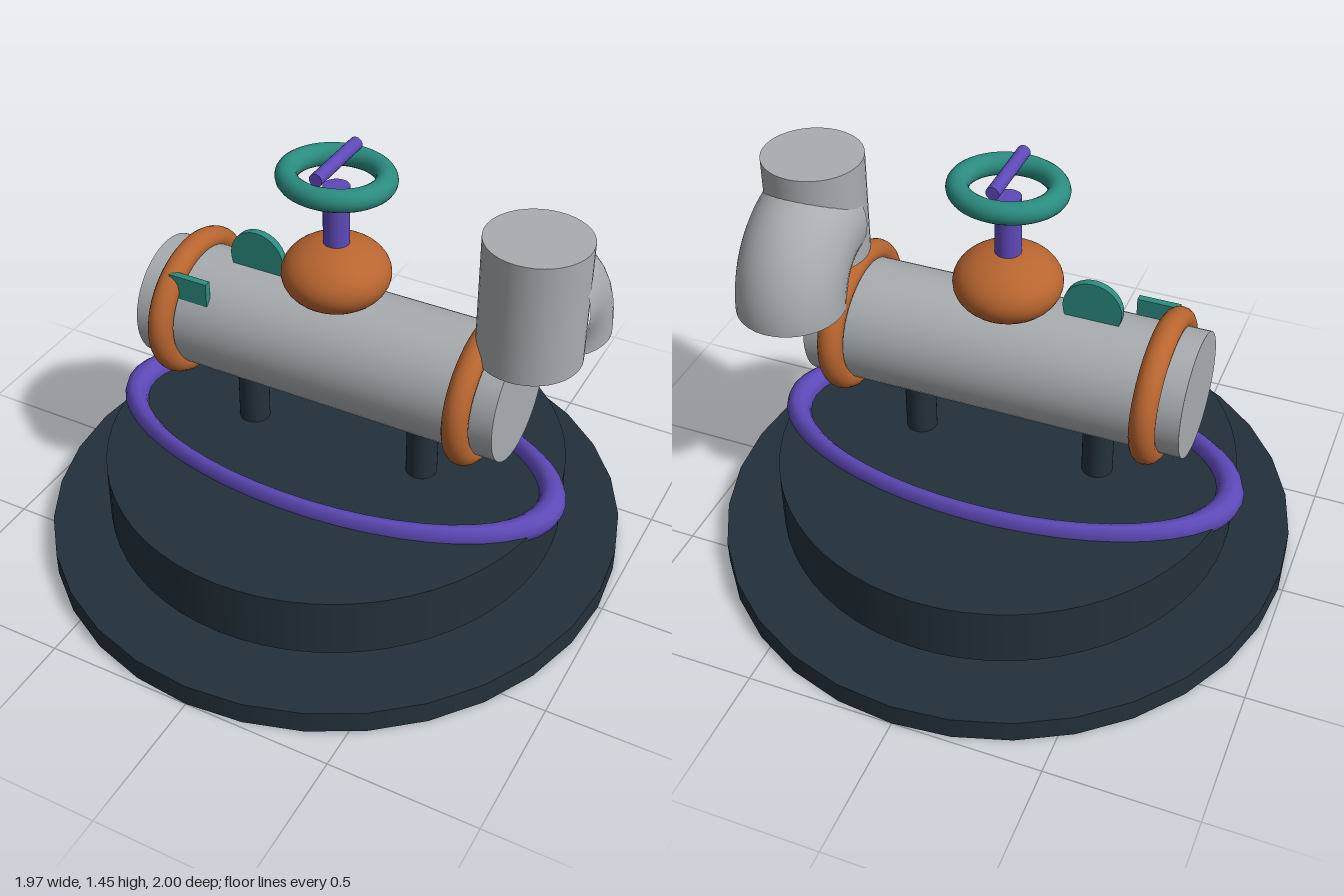
import * as THREE from 'three';

const material = (name, color, side = THREE.FrontSide) => {
  const m = new THREE.MeshStandardMaterial({ color, side });
  m.name = name;
  return m;
};

export function createModel() {
  const model = new THREE.Group();
  model.name = 'valveOnStand';

  const slate = material('darkSlate', 0x24313a);
  const steel = material('greySteel', 0xa9adb0, THREE.DoubleSide);
  const copper = material('copper', 0xb8652f);
  const violet = material('violet', 0x5e49b8);
  const teal = material('teal', 0x2b8c80);

  const add = (name, geometry, mat, x, y, z) => {
    const mesh = new THREE.Mesh(geometry, mat);
    mesh.name = name;
    mesh.position.set(x, y, z);
    model.add(mesh);
    return mesh;
  };
  const cylinder = (r, length, sides = 32) => new THREE.CylinderGeometry(r, r, length, sides);

  // Stepped round base, slightly narrower across x
  add('basePlate', cylinder(1, 0.08), slate, 0, 0.04, 0).scale.x = 0.985;
  add('plinth', cylinder(0.794, 0.21, 64), slate, 0, 0.235, 0).scale.x = 0.985;

  // Oval ring lying on the plinth
  const ring = add('ovalRing', new THREE.TorusGeometry(0.782, 0.047, 10, 48), violet, 0, 0.343, 0);
  ring.rotation.x = Math.PI / 2;
  ring.scale.y = 0.48;

  // Main horizontal pipe
  add('mainPipe', cylinder(0.208, 1.29, 48), steel, 0, 0.752, 0).rotation.z = Math.PI / 2;

  // Support posts and pipe clamps, one pair each side
  for (const side of [-1, 1]) {
    add('supportPost', cylinder(0.053, 0.5), slate, side * 0.323, 0.33, 0);
    const clamp = add('pipeClamp', new THREE.TorusGeometry(0.235, 0.042, 16, 48), copper, side * 0.533, 0.759, 0);
    clamp.rotation.y = Math.PI / 2;
    clamp.scale.y = 0.9;
  }

  // Valve body, stem and hand wheel
  add('valveBody', new THREE.SphereGeometry(0.178, 32, 24), copper, 0, 1.032, 0).scale.y = 0.65;
  add('valveStem', cylinder(0.043, 0.29), violet, 0, 1.2, 0);
  const wheel = add('handWheel', new THREE.TorusGeometry(0.158, 0.037, 16, 48), teal, 0, 1.376, 0);
  wheel.rotation.x = Math.PI / 2;
  wheel.scale.y = 0.9;
  add('wheelBar', cylinder(0.022, 0.264, 20), violet, 0, 1.43, 0.002).rotation.x = Math.PI / 2;

  // Gauge disc on top of the pipe and a small tag on its front
  add('gaugeDisc', cylinder(0.098, 0.026), teal, -0.287, 0.998, 0).rotation.x = Math.PI / 2;
  add('tag', new THREE.BoxGeometry(0.14, 0.085, 0.025), teal, -0.457, 0.916, 0.161);

  // Upright outlet and the quarter elbow behind it
  add('outletPipe', cylinder(0.167, 0.415, 40), steel, 0.668, 1.143, 0);
  const elbow = new THREE.TorusGeometry(0.22, 0.18, 32, 24, Math.PI / 2);
  add('outletElbow', elbow, steel, 0.668, 0.91, 0).rotation.y = Math.PI / 2;

  return model;
}
